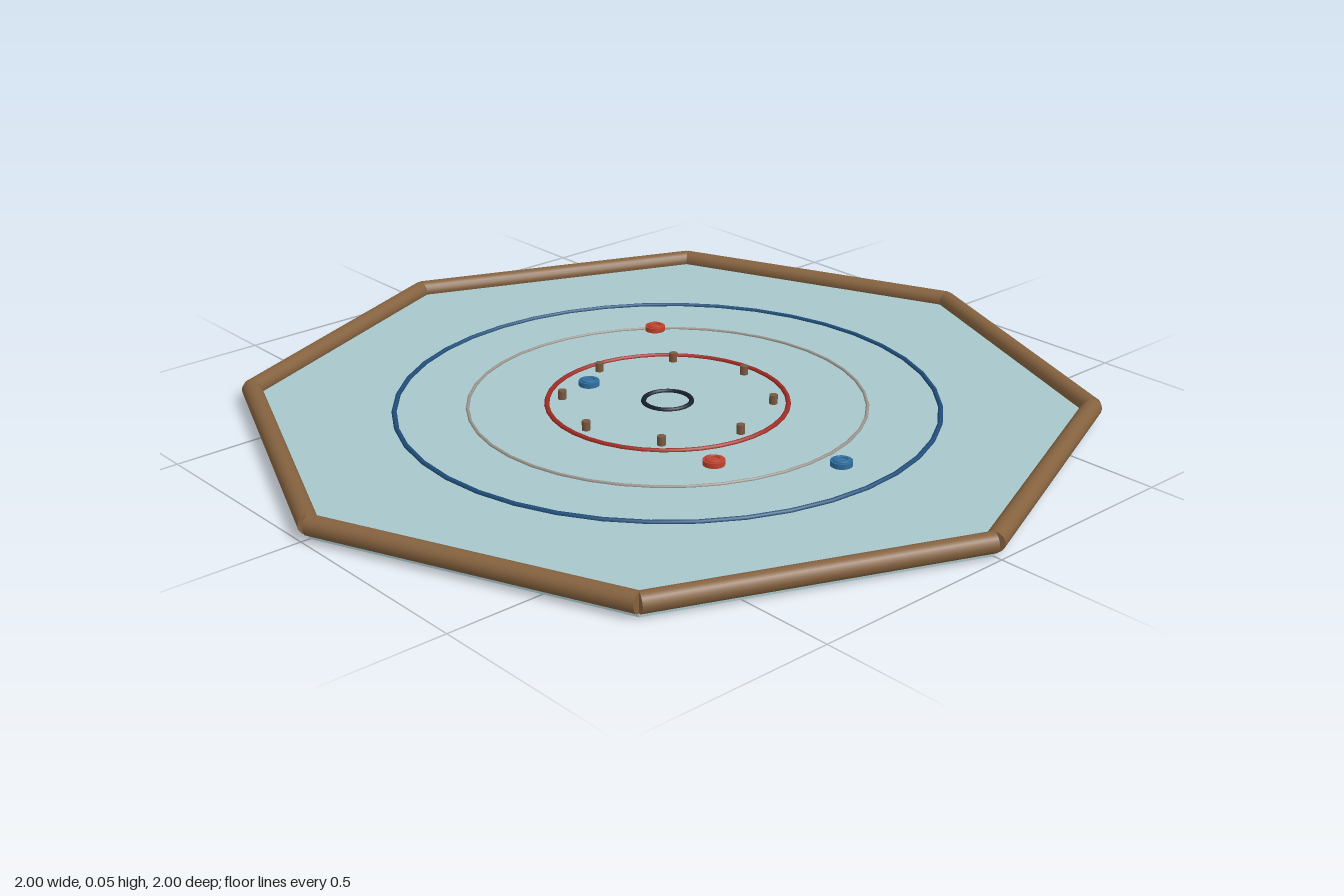
import * as THREE from 'three';

const mat = (name, color, flatShading = false) => {
  const m = new THREE.MeshStandardMaterial({ color, flatShading });
  m.name = name;
  return m;
};

export function createModel() {
  const board = new THREE.Group();
  board.name = 'octagonalGameBoard';

  const ice = mat('paleBlueBoard', 0xa8c6cc, true);
  const wood = mat('railWood', 0x85623f);
  const pegWood = mat('pegWood', 0x7a5a40);
  const navy = mat('outerRingBlue', 0x1f4e79);
  const grey = mat('middleRingGrey', 0x9a958c);
  const darkRed = mat('innerRingRed', 0xa02c24);
  const ink = mat('centreRingInk', 0x17202c);
  const red = mat('discRed', 0xc0432f);
  const blue = mat('discBlue', 0x2f6f9f);

  const add = (parent, name, geometry, material, x = 0, y = 0, z = 0) => {
    const mesh = new THREE.Mesh(geometry, material);
    mesh.name = name;
    mesh.position.set(x, y, z);
    parent.add(mesh);
    return mesh;
  };

  const R = 0.979; // corner radius of the octagon
  const TOP = 0.025; // height of the playing surface

  // Playing surface
  add(board, 'playingSurface', new THREE.CylinderGeometry(R, R, TOP, 8), ice, 0, TOP / 2, 0);

  // Round rails, one along each edge, with square-cut ends
  const railLength = 2 * R * Math.sin(Math.PI / 8);
  const railGeo = new THREE.CylinderGeometry(0.023, 0.023, railLength, 16).rotateZ(Math.PI / 2);
  const apothem = R * Math.cos(Math.PI / 8);
  for (let i = 0; i < 8; i++) {
    const a = (i + 0.5) * Math.PI / 4;
    const rail = add(board, 'rail', railGeo, wood, Math.sin(a) * apothem, 0.032, Math.cos(a) * apothem);
    rail.rotation.y = a;
  }

  // Scoring rings
  const rings = [
    ['outerRing', 0.632, 0.006, navy],
    ['middleRing', 0.464, 0.004, grey],
    ['innerRing', 0.281, 0.006, darkRed],
    ['centreRing', 0.056, 0.006, ink],
  ];
  for (const [name, radius, tube, material] of rings) {
    const geo = new THREE.TorusGeometry(radius, tube, 8, 40).rotateX(Math.PI / 2);
    add(board, name, geo, material, 0, TOP + 0.001, 0);
  }

  // Pegs
  const pegGeo = new THREE.CylinderGeometry(0.01, 0.01, 0.022, 10);
  for (let i = 0; i < 8; i++) {
    const a = i * Math.PI / 4;
    add(board, 'peg', pegGeo, pegWood, Math.cos(a) * 0.246, TOP + 0.011, Math.sin(a) * 0.246);
  }

  // Playing discs, each with a low raised rim
  const discGeo = new THREE.CylinderGeometry(0.025, 0.025, 0.012, 20);
  const rimGeo = new THREE.TorusGeometry(0.016, 0.004, 6, 20).rotateX(Math.PI / 2);
  const discs = [
    [-0.36, -0.28, red], [0.326, 0.157, red],
    [0.514, -0.046, blue], [-0.196, 0.074, blue],
  ];
  for (const [x, z, material] of discs) {
    const disc = new THREE.Group();
    disc.name = 'playingDisc';
    disc.position.set(x, TOP, z);
    add(disc, 'discBody', discGeo, material, 0, 0.006, 0);
    add(disc, 'discRim', rimGeo, material, 0, 0.012, 0);
    board.add(disc);
  }

  return board;
}
